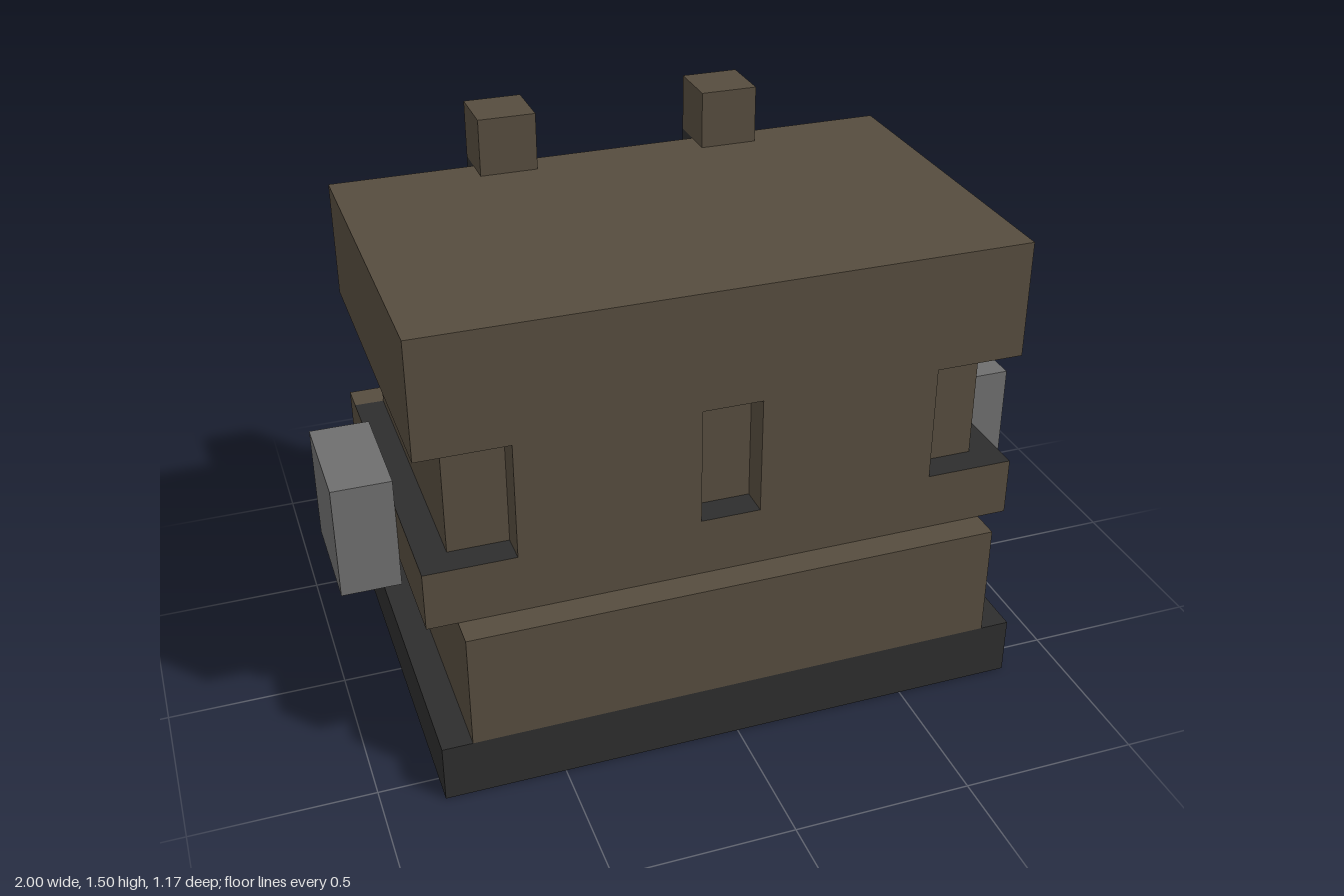
import * as THREE from 'three';

export function createModel() {
  const mat = (name, color) => {
    const m = new THREE.MeshStandardMaterial({ color });
    m.name = name;
    return m;
  };
  const brown = mat('brown', 0x564c3e);
  const dark = mat('charcoal', 0x2d2d2d);
  const grey = mat('grey', 0x6e6e6e);

  const U = 1 / 12; // block unit
  const group = new THREE.Group();

  // Box from min/max corners in block units; faces optionally lists materials for +x -x +y -y +z -z
  const block = (name, [x0, x1], [y0, y1], [z0, z1], material, parent = group) => {
    const mesh = new THREE.Mesh(
      new THREE.BoxGeometry((x1 - x0) * U, (y1 - y0) * U, (z1 - z0) * U), material);
    mesh.position.set((x0 + x1) / 2 * U, (y0 + y1) / 2 * U, (z0 + z1) / 2 * U);
    mesh.name = name;
    parent.add(mesh);
    return mesh;
  };
  const darkBelow = [brown, brown, brown, dark, brown, brown];
  const darkCaps = [brown, brown, dark, dark, brown, brown];

  // Base slab and lower body
  block('base', [-10, 10], [0, 2], [-5, 7], dark);
  block('lowerBody', [-9, 9], [2, 6], [-5, 7], brown);

  // Waist band, its rear rim made of ten blocks with some dark ones
  const band = new THREE.Group();
  band.name = 'waistBand';
  group.add(band);
  block('bandCore', [-10, 10], [6, 8], [-5, 6], darkCaps, band);
  const darkTops = [0, 2, 6, 8], darkBacks = [3, 5];
  for (let i = 0; i < 10; i++) {
    const x = 8 - 2 * i;
    const top = darkTops.includes(i) ? dark : brown;
    const back = darkBacks.includes(i) ? dark : brown;
    block('bandRim', [x, x + 2], [6, 8], [-6, -5], [brown, brown, top, dark, brown, back], band);
  }

  // Upper body with two raised front panels, leaving recesses at the middle and corners
  block('upperBody', [-9, 9], [8, 12], [-5, 5], brown);
  block('frontPanelLeft', [1, 7], [8, 12], [5, 6], brown);
  block('frontPanelRight', [-7, -1], [8, 12], [5, 6], brown);

  // Head block
  block('topBlock', [-10, 10], [12, 16], [-6, 6], darkBelow);

  for (const side of [1, -1]) {
    const label = side > 0 ? 'Left' : 'Right';
    const span = (a, b) => (side > 0 ? [a, b] : [-b, -a]);

    // Side knob
    block('sideKnob' + label, span(10, 12), [5, 9], [-2, 2], grey);

    // Rear post: dark back and lower part
    const post = new THREE.Group();
    post.name = 'rearPost' + label;
    group.add(post);
    const outer = side > 0 ? dark : brown;
    block('postTop', span(3, 5), [16, 18], [-7, -5], [outer, brown, brown, dark, brown, dark], post);
    block('postFoot', span(3, 5), [14, 16], [-7, -5], dark, post);
  }

  return group;
}
